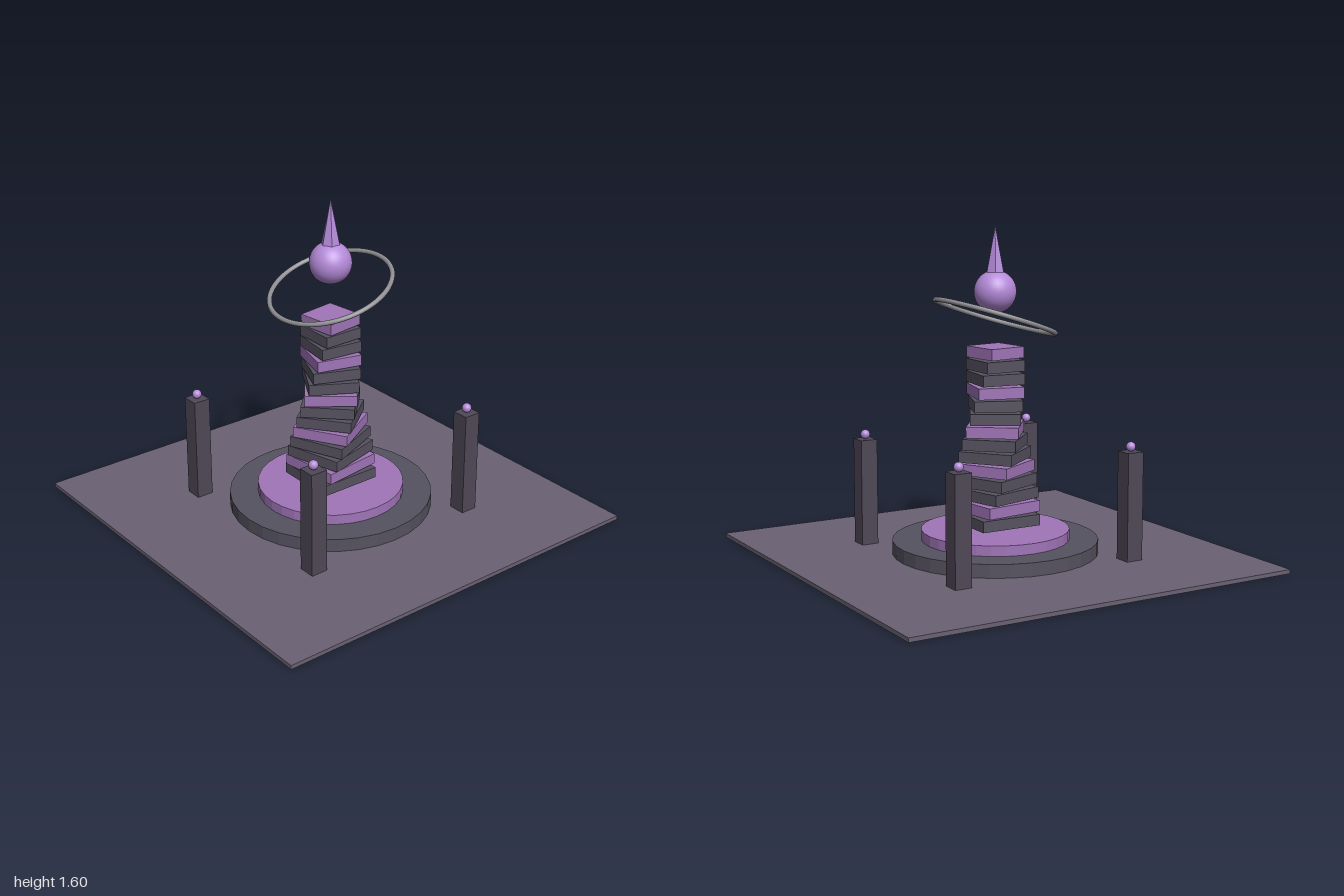
import * as THREE from 'three';

const material = (color, flatShading = true) => new THREE.MeshStandardMaterial({ color, flatShading });

export function createModel() {
  const model = new THREE.Group();
  model.name = 'twistedTower';

  const ground = material(0x6a6273);
  const stone = material(0x565260);
  const pillarStone = material(0x4f4857);
  const purple = material(0xa075b8);
  const glow = material(0xb48ad8, false);
  const spireMat = material(0xb48ad8);
  const metal = material(0x8e8e94, false);

  const add = (name, geometry, mat, x, y, z, parent = model) => {
    const mesh = new THREE.Mesh(geometry, mat);
    mesh.name = name;
    mesh.position.set(x, y, z);
    parent.add(mesh);
    return mesh;
  };

  // Ground plate and two round tiers
  add('groundPlate', new THREE.BoxGeometry(2, 0.02, 2), ground, 0, 0.01, 0);
  add('lowerTier', new THREE.CylinderGeometry(0.5, 0.5, 0.065, 32), stone, 0, 0.0525, 0);
  add('upperTier', new THREE.CylinderGeometry(0.36, 0.36, 0.05, 32), purple, 0, 0.11, 0);

  // Floating square slabs, shrinking and turning a quarter turn over twelve steps
  const tower = new THREE.Group();
  tower.name = 'tower';
  model.add(tower);
  for (let i = 0; i < 14; i++) {
    const width = 0.316 - 0.0092 * i;
    const slab = add('slab', new THREE.BoxGeometry(width, 0.054, width),
      i % 3 === 1 ? purple : stone, 0, 0.187 + 0.0622 * i, 0, tower);
    slab.rotation.y = i * Math.PI / 24;
  }

  // Tilted ring, low at the front
  const ring = add('ring', new THREE.TorusGeometry(0.298, 0.012, 10, 64), metal, 0, 1.163, 0);
  ring.rotation.x = Math.PI / 2 + 0.318;

  // Orb with a six-sided spire
  add('orb', new THREE.SphereGeometry(0.102, 32, 20), glow, 0, 1.283, 0);
  add('spire', new THREE.ConeGeometry(0.046, 0.22, 6), spireMat, 0, 1.486, 0);

  // Four corner pillars, each with a small orb
  for (const sx of [-1, 1]) {
    for (const sz of [-1, 1]) {
      const pillar = new THREE.Group();
      pillar.name = 'pillar';
      pillar.position.set(sx * 0.466, 0, sz * 0.466);
      model.add(pillar);
      add('pillarShaft', new THREE.BoxGeometry(0.086, 0.523, 0.086), pillarStone, 0, 0.2815, 0, pillar);
      add('pillarOrb', new THREE.SphereGeometry(0.023, 16, 12), glow, 0, 0.566, 0, pillar);
    }
  }

  return model;
}
